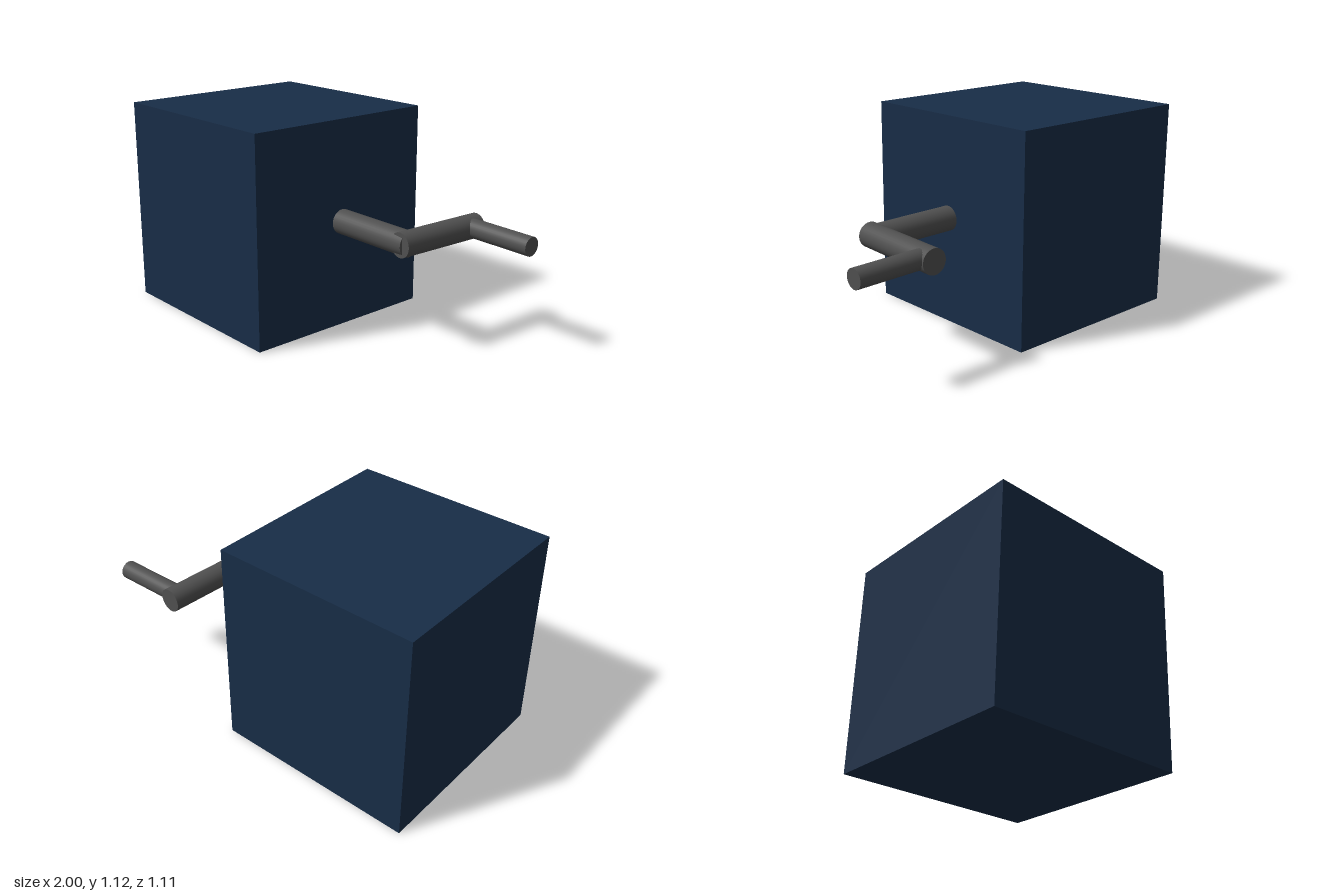
import * as THREE from 'three';

export function createModel() {
  const model = new THREE.Group();
  const navy = new THREE.MeshStandardMaterial({ color: 0x182d47 });
  const steel = new THREE.MeshStandardMaterial({ color: 0x505050 });

  // Capped round bar between two points
  function bar(name, radius, from, to) {
    const a = new THREE.Vector3(...from);
    const b = new THREE.Vector3(...to);
    const dir = b.clone().sub(a);
    const mesh = new THREE.Mesh(new THREE.CylinderGeometry(radius, radius, dir.length(), 32), steel);
    mesh.name = name;
    mesh.position.copy(a).add(b).multiplyScalar(0.5);
    mesh.quaternion.setFromUnitVectors(new THREE.Vector3(0, 1, 0), dir.normalize());
    model.add(mesh);
  }

  // Cube body
  const body = new THREE.Mesh(new THREE.BoxGeometry(1.1, 1.12, 1.105), navy);
  body.name = 'body';
  body.position.set(-0.45, 0.56, 0);
  model.add(body);

  // Crank: shaft out of the side, arm towards the back, handle outwards
  bar('crankShaft', 0.066, [0.05, 0.578, -0.003], [0.585, 0.573, -0.003]);
  bar('crankArm', 0.065, [0.568, 0.575, 0.046], [0.597, 0.575, -0.48]);
  bar('crankHandle', 0.05, [0.6, 0.581, -0.418], [1, 0.574, -0.418]);

  return model;
}
